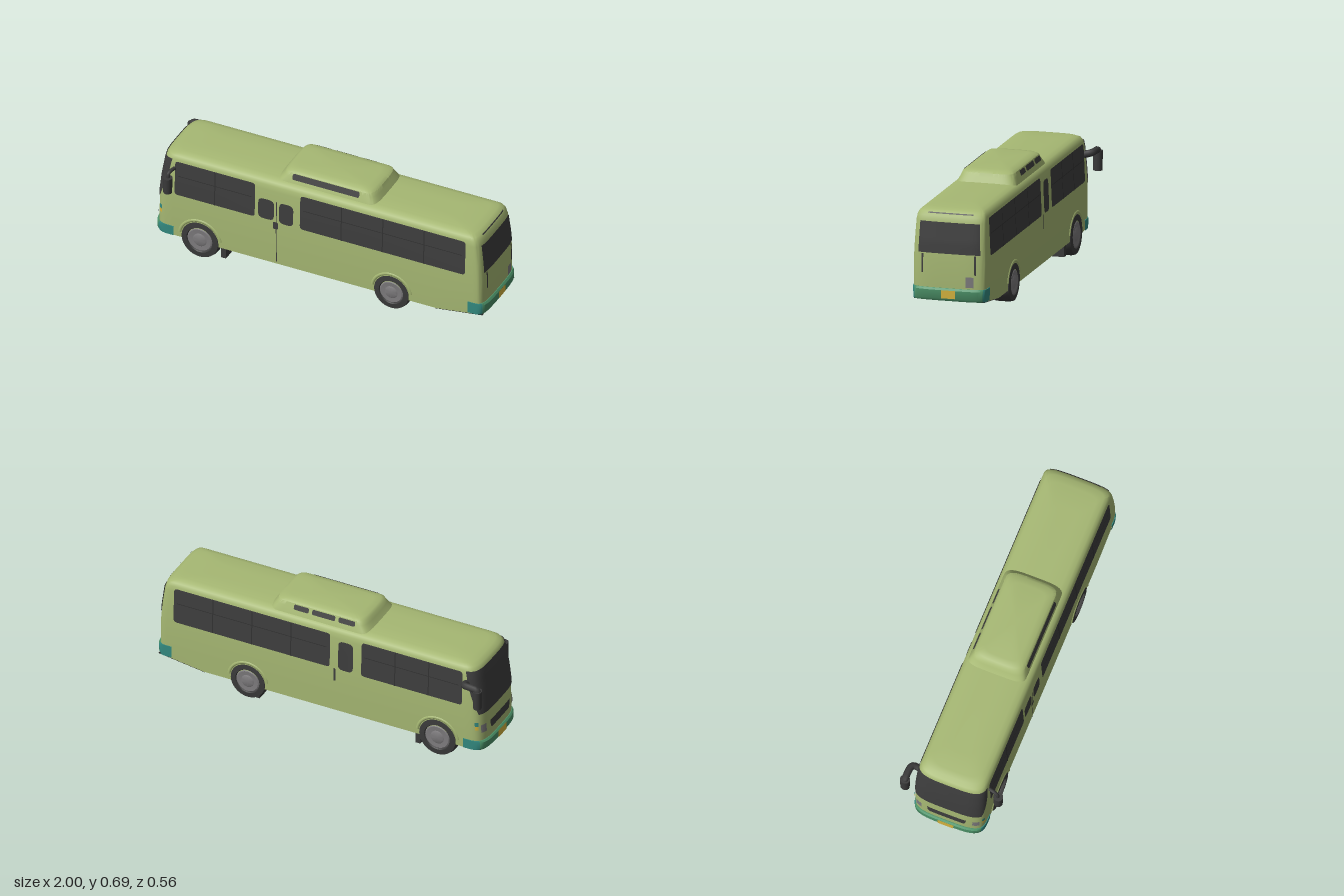
import * as THREE from 'three';
import { toCreasedNormals } from 'three/addons/utils/BufferGeometryUtils.js';

const mat = (name, color, side = THREE.FrontSide) => {
  const m = new THREE.MeshStandardMaterial({ color, side });
  m.name = name;
  return m;
};

// Body outline by height: y, front x, rear x, half width
const LAYERS = [
  [0.105, -0.985, 0.985, 0.201], [0.2, -0.985, 0.987, 0.204], [0.35, -0.98, 0.986, 0.206],
  [0.46, -0.968, 0.978, 0.202], [0.57, -0.95, 0.964, 0.197], [0.6, -0.943, 0.955, 0.193],
  [0.618, -0.93, 0.943, 0.184], [0.629, -0.905, 0.92, 0.168], [0.635, -0.87, 0.88, 0.14],
];
function layerAt(y) {
  let i = 0;
  while (i < LAYERS.length - 2 && y > LAYERS[i + 1][0]) i++;
  const a = LAYERS[i], b = LAYERS[i + 1];
  const t = (y - a[0]) / (b[0] - a[0]);
  return a.map((v, k) => v + (b[k] - v) * t);
}

// Surface from a grid of points; fn(u, v) gives [x, y, z]
function grid(nu, nv, fn, crease = 0.6) {
  const pos = [], idx = [];
  for (let j = 0; j <= nv; j++) for (let i = 0; i <= nu; i++) pos.push(...fn(i / nu, j / nv));
  for (let j = 0; j < nv; j++) for (let i = 0; i < nu; i++) {
    const a = j * (nu + 1) + i, b = a + nu + 1;
    idx.push(a, a + 1, b + 1, a, b + 1, b);
  }
  const g = new THREE.BufferGeometry();
  g.setAttribute('position', new THREE.Float32BufferAttribute(pos, 3));
  g.setIndex(idx);
  return toCreasedNormals(g, crease);
}

// Point on a rounded end; dir -1 is the front, +1 the rear, |t| > 1 runs along the side
function endPoint(dir, [y, xf, xr, hw], t, o = 0, depth = dir < 0 ? 0.11 : 0.06) {
  const a = THREE.MathUtils.clamp(t, -1, 1) * Math.PI / 2;
  const d = Math.min(depth, (xr - xf) / 2);
  const s = Math.sqrt(Math.abs(Math.sin(a))), c = Math.sqrt(Math.max(0, Math.cos(a)));
  const tip = (dir < 0 ? -xf : xr) + o;
  const x = tip - (d + o) * (1 - c) - Math.max(0, Math.abs(t) - 1) * 0.3;
  return [dir * x, y, Math.sign(a) * (hw + Math.min(o, 0.004)) * s];
}

// Closed stack of rounded outlines, with one joint along each side
function loft(layers, depth, bend = p => p) {
  const n = 50, rows = layers.length - 1;
  return grid(n, rows, (u, v) => {
    const l = layers[Math.round(v * rows)], i = Math.round(u * n) % n, k = i % 25;
    if (k === 24) return bend([l[1] + (l[2] - l[1]) * 0.857, l[0], i < 25 ? l[3] : -l[3]]);
    return bend(i < 25 ? endPoint(-1, l, k / 23 * 2 - 1, 0, depth) : endPoint(1, l, 1 - k / 23 * 2, 0, depth));
  });
}

// Thin plate lying on a rounded end; pinch narrows its lower edge
const endPatch = (dir, t0, t1, y0, y1, o = 0.004, pinch = 0) => grid(24, 10, (u, v) => {
  const t = dir < 0 ? t0 + (t1 - t0) * u : t1 - (t1 - t0) * u;
  return endPoint(dir, layerAt(y0 + (y1 - y0) * v), t * (1 - pinch * (1 - v) ** 3), o);
}, 1);
const tOf = (z, hw = 0.205) => Math.sign(z) * Math.asin((z / hw) ** 2) * 2 / Math.PI;

// Bumper section wrapped round an end
const SECTION = [[-0.03, 0], [0.004, 0], [0.013, 0.2], [0.013, 0.85], [0.004, 1], [-0.03, 1]];
const bumper = (dir, t0, t1, y0, y1) => grid(28, 5, (u, v) => {
  const [o, k] = SECTION[Math.round(v * 5)];
  return endPoint(dir, layerAt(y0 + (y1 - y0) * k), dir < 0 ? t0 + (t1 - t0) * u : t1 - (t1 - t0) * u, o);
});

// Rounded thin plate lying on a long side; side is +1 or -1
function sidePatch(side, x0, x1, y0, y1, r = 0.02, o = 0.003, width = y => layerAt(y)[3]) {
  const [a, b] = side > 0 ? [x0, x1] : [-x1, -x0];
  const s = new THREE.Shape();
  s.moveTo(a + r, y0); s.lineTo(b - r, y0); s.quadraticCurveTo(b, y0, b, y0 + r);
  s.lineTo(b, y1 - r); s.quadraticCurveTo(b, y1, b - r, y1);
  s.lineTo(a + r, y1); s.quadraticCurveTo(a, y1, a, y1 - r);
  s.lineTo(a, y0 + r); s.quadraticCurveTo(a, y0, a + r, y0);
  const g = new THREE.ShapeGeometry(s, 4), p = g.attributes.position;
  for (let i = 0; i < p.count; i++) p.setZ(i, width(p.getY(i)) + o);
  if (side < 0) g.rotateY(Math.PI);
  g.computeVertexNormals();
  return g;
}

export function createModel() {
  const root = new THREE.Group();
  root.name = 'bus';
  const paint = mat('green paint', 0xa6b873), glass = mat('dark glass', 0x3d3d3d, THREE.DoubleSide);
  const black = mat('black trim', 0x222222, THREE.DoubleSide), rubber = mat('rubber', 0x3a3a3a);
  const grey = mat('grey metal', 0x7c7a7c), teal = mat('bumper green', 0x4d9369);
  const blue = mat('corner teal', 0x338a80), yellow = mat('yellow plate', 0xd6b43e);
  const frame = mat('chassis', 0x303030);
  const add = (name, geo, m, x = 0, y = 0, z = 0) => {
    const mesh = new THREE.Mesh(geo, m);
    mesh.name = name;
    mesh.position.set(x, y, z);
    root.add(mesh);
    return mesh;
  };
  const box = (name, m, w, h, d, x, y, z) => add(name, new THREE.BoxGeometry(w, h, d), m, x, y, z);

  // Shell with a recessed floor and a raised tail
  const lift = ([x, y, z]) => [x, y < 0.11 ? y + Math.max(0, (x - 0.71) / 0.275) * 0.04 : y, z];
  add('body', loft([[0.15, 0, 0, 0], [0.15, -0.965, 0.965, 0.185], [0.105, -0.965, 0.965, 0.185],
    ...LAYERS, [0.638, -0.75, 0.75, 0.07], [0.638, 0, 0, 0]], undefined, lift), paint);
  add('tailUnderside', grid(1, 1, (u, v) => [0.7 + 0.28 * v, 0.101 + 0.039 * v, 0.199 - 0.398 * u]), black);

  // Roof unit with side vents
  const podZ = -0.005, podWidth = y => 0.163 - (y - 0.64) * 0.4;
  add('roofUnit', loft([[0.62, -0.285, 0.335, 0.17], [0.64, -0.27, 0.325, 0.163], [0.665, -0.25, 0.308, 0.153],
    [0.685, -0.24, 0.298, 0.145], [0.695, -0.225, 0.28, 0.13], [0.7, -0.19, 0.245, 0.1], [0.7, 0.03, 0.03, 0]], 0.07), paint, 0, 0, podZ);
  add('roofVent', sidePatch(1, -0.18, 0.22, 0.652, 0.684, 0.01, 0.004, podWidth), glass, 0, 0, podZ);
  for (const [x0, x1] of [[0.09, 0.18], [-0.07, 0.07], [-0.19, -0.09]])
    add('roofVent', sidePatch(-1, x0, x1, 0.655, 0.682, 0.01, 0.004, podWidth), glass, 0, 0, podZ);

  // Side windows: side, x0, x1, y0, y1, number of panes
  for (const [s, x0, x1, y0, y1, n] of [
    [1, -0.86, -0.38, 0.38, 0.59, 2], [1, -0.11, 0.88, 0.38, 0.59, 4],
    [-1, -0.86, -0.25, 0.38, 0.59, 3], [-1, -0.06, 0.885, 0.38, 0.59, 4],
    [1, -0.36, -0.265, 0.385, 0.51, 1], [1, -0.235, -0.15, 0.38, 0.51, 1], [-1, -0.2, -0.11, 0.38, 0.56, 1]]) {
    add('sideWindow', sidePatch(s, x0, x1, y0, y1, n > 1 ? 0.02 : 0.03), glass);
    for (let i = 1; i < n; i++) {
      const x = x0 + (x1 - x0) * i / n;
      add('windowBar', sidePatch(s, x - 0.003, x + 0.003, y0, y1, 0.001, 0.005), frame);
    }
    if (n > 1) add('windowRail', sidePatch(s, x0 + 0.02, x1 - 0.02, 0.5, 0.504, 0.001, 0.005), frame);
  }
  // Door seams and handles
  for (const [y0, y1] of [[0.12, 0.2], [0.2, 0.35], [0.35, 0.46], [0.46, 0.51]])
    add('doorSeam', sidePatch(1, -0.253, -0.248, y0, y1, 0.0005), glass);
  add('doorHandle', sidePatch(1, -0.27, -0.24, 0.335, 0.38, 0.008), glass);
  add('doorHandle', sidePatch(-1, -0.095, -0.083, 0.3, 0.38, 0.004), glass);

  // Front end
  add('windscreen', endPatch(-1, -0.9, 0.9, 0.335, 0.6, 0.004, 0.3), glass);
  add('grille', endPatch(-1, tOf(-0.11), tOf(0.11), 0.215, 0.265, 0.004, 0.2), glass);
  for (const s of [-1, 1]) {
    const patch = (name, a, b, y0, y1, m) => add(name, endPatch(-1, Math.min(s * a, s * b), Math.max(s * a, s * b), y0, y1), m);
    patch('headlamp', tOf(0.145), tOf(0.18), 0.215, 0.265, grey);
    patch('indicator', 0.66, 0.8, 0.235, 0.258, yellow);
    patch('sideLamp', 0.66, 0.8, 0.258, 0.285, blue);
  }
  add('frontPlate', endPatch(-1, tOf(-0.045), tOf(0.045), 0.113, 0.158, 0.015), yellow);

  // Rear end
  add('rearWindow', endPatch(1, tOf(-0.175), tOf(0.168), 0.4, 0.57), glass);
  add('rearRoofSlit', endPatch(1, tOf(-0.14), tOf(0.135), 0.612, 0.618), glass);
  for (const z of [-0.147, 0.143]) add('rearLampSlit', endPatch(1, tOf(z - 0.005), tOf(z + 0.005), 0.29, 0.395), glass);
  add('rearHatch', endPatch(1, tOf(-0.14), tOf(-0.098), 0.22, 0.278), grey);
  add('rearPlate', endPatch(1, tOf(-0.042), tOf(0.036), 0.155, 0.2, 0.0145), yellow);

  // Bumpers with darker corners
  for (const [dir, y0, y1, end] of [[-1, 0.105, 0.163, 1.03], [1, 0.14, 0.21, 1.1]]) {
    add('bumper', bumper(dir, -0.66, 0.66, y0, y1), teal);
    add('bumperCorner', bumper(dir, -end, -0.66, y0, y1), blue);
    add('bumperCorner', bumper(dir, 0.66, end, y0, y1), blue);
  }

  // Wheels, arches, mud flaps and axles
  const v2 = pts => pts.map(p => new THREE.Vector2(...p));
  for (const [x, y, r] of [[-0.71, 0.122, 0.115], [0.437, 0.13, 0.108]]) {
    const tyre = toCreasedNormals(new THREE.LatheGeometry(v2([[0, -0.11], [r * 0.85, -0.11], [r, -0.095],
      [r, -0.022], [r * 0.95, -0.001], [r * 0.68, 0.002], [r * 0.64, -0.004], [0, -0.004]]), 32), 0.6);
    const hub = toCreasedNormals(new THREE.LatheGeometry(v2([[r * 0.65, -0.004], [r * 0.58, 0.001],
      [r * 0.35, -0.001], [r * 0.28, 0.003], [0, 0.004]]), 24), 0.5);
    for (const s of [-1, 1]) {
      for (const [name, g, m] of [['tyre', tyre, rubber], ['wheelHub', hub, grey]])
        add(name, g, m, x, y, s * 0.206).rotation.x = s * Math.PI / 2;
      const arch = add('wheelArch', new THREE.TorusGeometry(r + 0.008, 0.011, 8, 24, Math.PI * 0.9), paint, x, y, s * 0.198);
      arch.rotation.z = Math.PI * 0.05;
      box('mudFlap', rubber, 0.03, 0.08, 0.08, x < 0 ? x + 0.13 : x - 0.045, x < 0 ? 0.068 : 0.06, s * 0.14);
    }
    const axle = add('axle', new THREE.CylinderGeometry(0.022, 0.022, 0.3, 12), frame, x, y - 0.015, 0);
    axle.rotation.x = Math.PI / 2;
  }
  add('differential', new THREE.SphereGeometry(0.045, 16, 12), frame, 0.437, 0.11, 0);

  // Ladder chassis
  for (const z of [-0.07, 0.07]) box('chassisRail', frame, 1.5, 0.035, 0.025, -0.1, 0.125, z);
  for (const x of [-0.8, -0.5, -0.2, 0.1, 0.3, 0.6]) box('crossMember', frame, 0.025, 0.025, 0.3, x, 0.13, 0);
  box('gearbox', frame, 0.24, 0.05, 0.12, -0.35, 0.13, 0);
  box('fuelTank', frame, 0.2, 0.04, 0.08, -0.1, 0.13, 0.125);
  add('driveShaft', new THREE.CylinderGeometry(0.012, 0.012, 0.7, 10), frame, 0.09, 0.12, 0).rotation.z = Math.PI / 2;

  // Mirrors: arm path and hanging pod
  const mirror = (path, radius, x, y, z, w, h, d) => {
    const curve = new THREE.CatmullRomCurve3(path.map(p => new THREE.Vector3(...p)));
    add('mirrorArm', new THREE.TubeGeometry(curve, 16, radius, 8), rubber);
    const pod = add('mirror', new THREE.CylinderGeometry(0.5, 0.46, 1, 16), rubber, x, y, z);
    pod.scale.set(w, h, d);
  };
  mirror([[-0.86, 0.545, 0.19], [-0.87, 0.546, 0.23], [-0.875, 0.535, 0.25], [-0.877, 0.5, 0.255]], 0.01, -0.877, 0.467, 0.257, 0.052, 0.095, 0.054);
  mirror([[-0.885, 0.52, -0.18], [-0.89, 0.535, -0.235], [-0.94, 0.537, -0.245], [-0.972, 0.53, -0.245], [-0.976, 0.5, -0.245]],
    0.02, -0.974, 0.475, -0.245, 0.05, 0.11, 0.056);

  root.children.forEach(c => { c.position.z -= 0.005; });
  return root;
}
